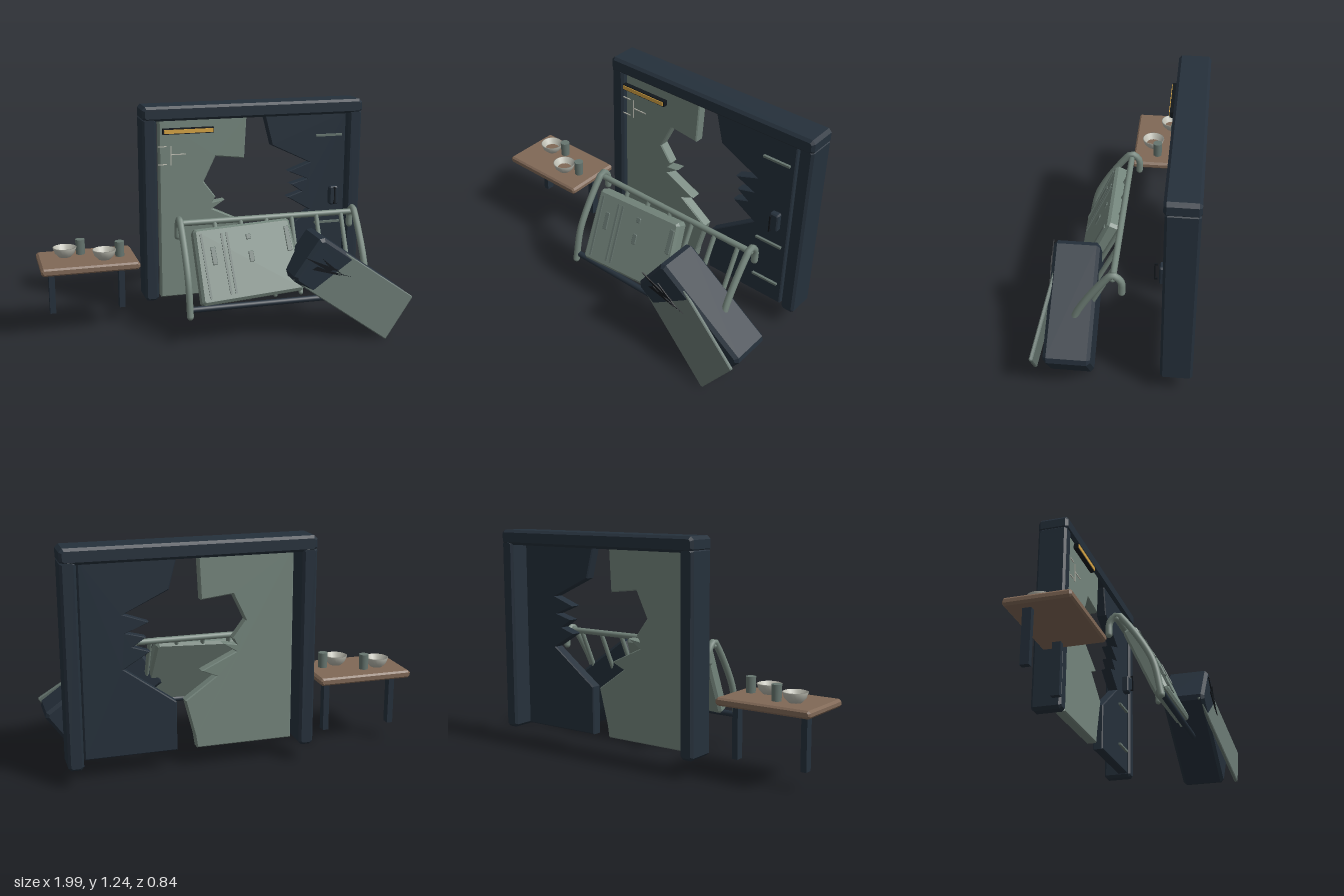
import * as THREE from 'three';

const mat = (name, color, extra = {}) => {
  const m = new THREE.MeshStandardMaterial({ color, ...extra });
  m.name = name;
  return m;
};

export function createModel() {
  const navy = mat('navy', 0x25303b);
  const sage = mat('sage', 0x74857c);
  const slate = mat('slate green', 0x66756f);
  const wood = mat('brown wood', 0x806856);
  const cream = mat('cream', 0xb9b9ae);
  const gold = mat('gold', 0xd6a444);
  const black = mat('black', 0x12171c);
  cream.side = THREE.DoubleSide;

  const root = new THREE.Group();
  root.name = 'brokenDoorwayScene';

  const add = (parent, name, geo, material, x = 0, y = 0, z = 0) => {
    const m = new THREE.Mesh(geo, material);
    m.name = name;
    m.position.set(x, y, z);
    parent.add(m);
    return m;
  };
  const group = (name, x = 0, y = 0, z = 0) => {
    const g = new THREE.Group();
    g.name = name;
    g.position.set(x, y, z);
    root.add(g);
    return g;
  };

  // Centred slab from an outline, with one chamfer step
  const slab = (pts, depth, c) => {
    const shape = new THREE.Shape(pts.map(([x, y]) => new THREE.Vector2(x, y)));
    const g = new THREE.ExtrudeGeometry(shape, {
      depth: depth - 2 * c, bevelEnabled: c > 0, bevelThickness: c,
      bevelSize: c, bevelOffset: -c, bevelSegments: 1,
    });
    return g.translate(0, 0, -(depth - 2 * c) / 2);
  };
  const chamferBox = (w, h, d, c) => {
    const a = w / 2, b = h / 2;
    return slab([[-a + c, -b], [a - c, -b], [a, -b + c], [a, b - c],
      [a - c, b], [-a + c, b], [-a, b - c], [-a, -b + c]], d, c * 0.8);
  };
  const box = (w, h, d) => new THREE.BoxGeometry(w, h, d);

  // Straight-sided tube through points with softened corners and round ends
  const tube = (parent, name, pts, r, material) => {
    const v = pts.map((p) => new THREE.Vector3(...p));
    const path = new THREE.CatmullRomCurve3(v, false, 'centripetal', 0.5);
    add(parent, name, new THREE.TubeGeometry(path, v.length > 2 ? 28 : 1, r, 10), material);
    for (const p of [v[0], v[v.length - 1]]) {
      add(parent, name + 'End', new THREE.SphereGeometry(r, 10, 6), material, p.x, p.y, p.z);
    }
  };

  // Door frame
  const frame = group('doorFrame');
  add(frame, 'lintel', chamferBox(1.32, 0.083, 0.175, 0.018), navy, 0.274, 1.213, -0.333);
  for (const x of [-0.346, 0.893]) {
    add(frame, 'post', chamferBox(0.08, 1.08, 0.166, 0.016), navy, x, 0.655, -0.335);
  }

  // Two torn door leaves
  const leaves = group('doorLeaves', 0, 0, -0.295);
  add(leaves, 'leftLeaf', slab([
    [-0.29, 0.13], [0.238, 0.13], [0.248, 0.198], [0.3, 0.4], [0.13, 0.52], [0.21, 0.555],
    [0.02, 0.645], [0.095, 0.695], [0.02, 0.685], [0.04, 0.717], [-0.03, 0.81], [0.04, 0.955],
    [0.212, 0.935], [0.225, 1.185], [-0.29, 1.185],
  ], 0.06, 0.006), sage);
  add(leaves, 'rightLeaf', slab([
    [0.345, 0.13], [0.837, 0.13], [0.837, 1.185], [0.332, 1.185], [0.38, 1.0], [0.617, 0.888],
    [0.484, 0.84], [0.605, 0.79], [0.5, 0.762], [0.57, 0.715], [0.48, 0.685], [0.62, 0.6],
    [0.345, 0.4],
  ], 0.06, 0.006), navy);

  // Trim on the leaves
  for (const y of [1.048, 0.52, 0.26]) {
    add(leaves, 'doorSlat', box(0.16, 0.012, 0.02), slate, 0.73, y, 0.035);
  }
  add(leaves, 'lockPlate', chamferBox(0.055, 0.11, 0.04, 0.008), navy, 0.762, 0.685, 0.047);
  add(leaves, 'pullBar', box(0.008, 0.1, 0.006), black, 0.757, 0.69, 0.09);
  for (const y of [0.644, 0.736]) {
    add(leaves, 'pullHook', box(0.008, 0.008, 0.014), black, 0.757, y, 0.083);
  }
  add(leaves, 'signBar', box(0.295, 0.032, 0.026), black, -0.128, 1.117, 0.062);
  add(leaves, 'signFace', box(0.282, 0.022, 0.006), gold, -0.128, 1.117, 0.076);
  for (const [x, y, w, h] of [[-0.225, 0.975, 0.005, 0.11], [-0.18, 0.98, 0.085, 0.005],
    [-0.275, 1.028, 0.05, 0.005], [-0.275, 0.925, 0.05, 0.005]]) {
    add(leaves, 'scratchLine', box(w, h, 0.005), cream, x, y, 0.042);
  }

  // Small table with bowls and cups
  const table = group('sideTable');
  add(table, 'tableTop', chamferBox(0.538, 0.042, 0.345, 0.012), wood, -0.731, 0.425, -0.157);
  for (const x of [-0.928, -0.532]) {
    add(table, 'tableLeg', box(0.033, 0.3, 0.046), navy, x, 0.265, -0.223);
  }
  const bowlProfile = [[0, 0], [0.034, 0], [0.055, 0.022], [0.066, 0.053], [0.06, 0.055],
    [0.046, 0.026], [0.03, 0.012], [0, 0.012]].map(([x, y]) => new THREE.Vector2(x, y));
  for (const [x, z] of [[-0.85, -0.198], [-0.644, -0.096]]) {
    add(table, 'bowl', new THREE.LatheGeometry(bowlProfile, 20), cream, x, 0.448, z);
    add(table, 'bowlFill', new THREE.CylinderGeometry(0.042, 0.036, 0.006, 20), wood, x, 0.466, z);
  }
  for (const [x, z] of [[-0.76, -0.224], [-0.553, -0.128]]) {
    add(table, 'cup', new THREE.CylinderGeometry(0.027, 0.025, 0.085, 14), slate, x, 0.491, z);
  }

  // Tipped bed frame
  const bed = group('bedFrame');
  for (const x of [-0.238, 0.785]) {
    tube(bed, 'endLoop', [[x, 0.56, -0.045], [x, 0.63, -0.042], [x, 0.668, 0], [x, 0.63, 0.04],
      [x, 0.39, 0.19], [x, 0.185, 0.238]], 0.019, sage);
  }
  tube(bed, 'topRail', [[-0.238, 0.645, 0], [0.785, 0.645, 0]], 0.017, sage);
  tube(bed, 'bottomRail', [[-0.225, 0.22, 0.225], [0.6, 0.22, 0.225]], 0.017, navy);
  for (const x of [-0.04, 0.11, 0.26, 0.41, 0.56, 0.71]) {
    tube(bed, 'railBar', [[x, 0.64, 0.005], [x, 0.25, 0.19]], 0.013, sage);
  }

  // Mattress leaning in the frame
  const mattress = group('mattress', 0.112, 0.437, 0.125);
  mattress.rotation.set(-0.43, 0, 0.06);
  add(mattress, 'mattressPad', slab([[-0.295, -0.195], [-0.28, -0.21], [0.28, -0.205],
    [0.292, -0.19], [0.275, 0.19], [0.26, 0.205], [-0.27, 0.21], [-0.282, 0.195]], 0.08, 0.014), sage);
  for (const [x, h] of [[-0.245, 0.36], [-0.13, 0.34], [-0.1, 0.34]]) {
    add(mattress, 'strap', box(0.012, h, 0.008), slate, x, 0, 0.042);
  }
  for (const [x, y, h] of [[0.02, 0.02, 0.06], [0.02, 0.13, 0.03], [0.245, 0.09, 0.14], [-0.19, 0.05, 0.1]]) {
    add(mattress, 'padMark', chamferBox(0.028, h, 0.008, 0.003), slate, x, y, 0.042);
  }

  // Toppled cabinet with its loosened door
  const cabinet = group('cabinet', 0.65, 0.307, 0.219);
  cabinet.rotation.z = -0.617;
  add(cabinet, 'cabinetBody', chamferBox(0.638, 0.288, 0.242, 0.022), navy);
  const door = add(cabinet, 'cabinetDoor', chamferBox(0.63, 0.282, 0.02, 0.006), slate, 0.005, 0, 0.135);
  door.rotation.set(-0.06, -0.165, 0);

  // Sharp splinters in front of the cabinet
  const splinters = group('splinters', 0, 0, 0.378);
  splinters.rotation.y = 0.04;
  for (const [a, b, c] of [
    [[0.365, 0.508], [0.5, 0.42], [0.56, 0.42]],
    [[0.45, 0.44], [0.64, 0.372], [0.47, 0.425]],
    [[0.41, 0.435], [0.58, 0.385], [0.44, 0.45]],
    [[0.47, 0.49], [0.6, 0.38], [0.5, 0.45]],
  ]) {
    add(splinters, 'splinter', slab([a, b, c], 0.006, 0), black);
  }
  return root;
}
